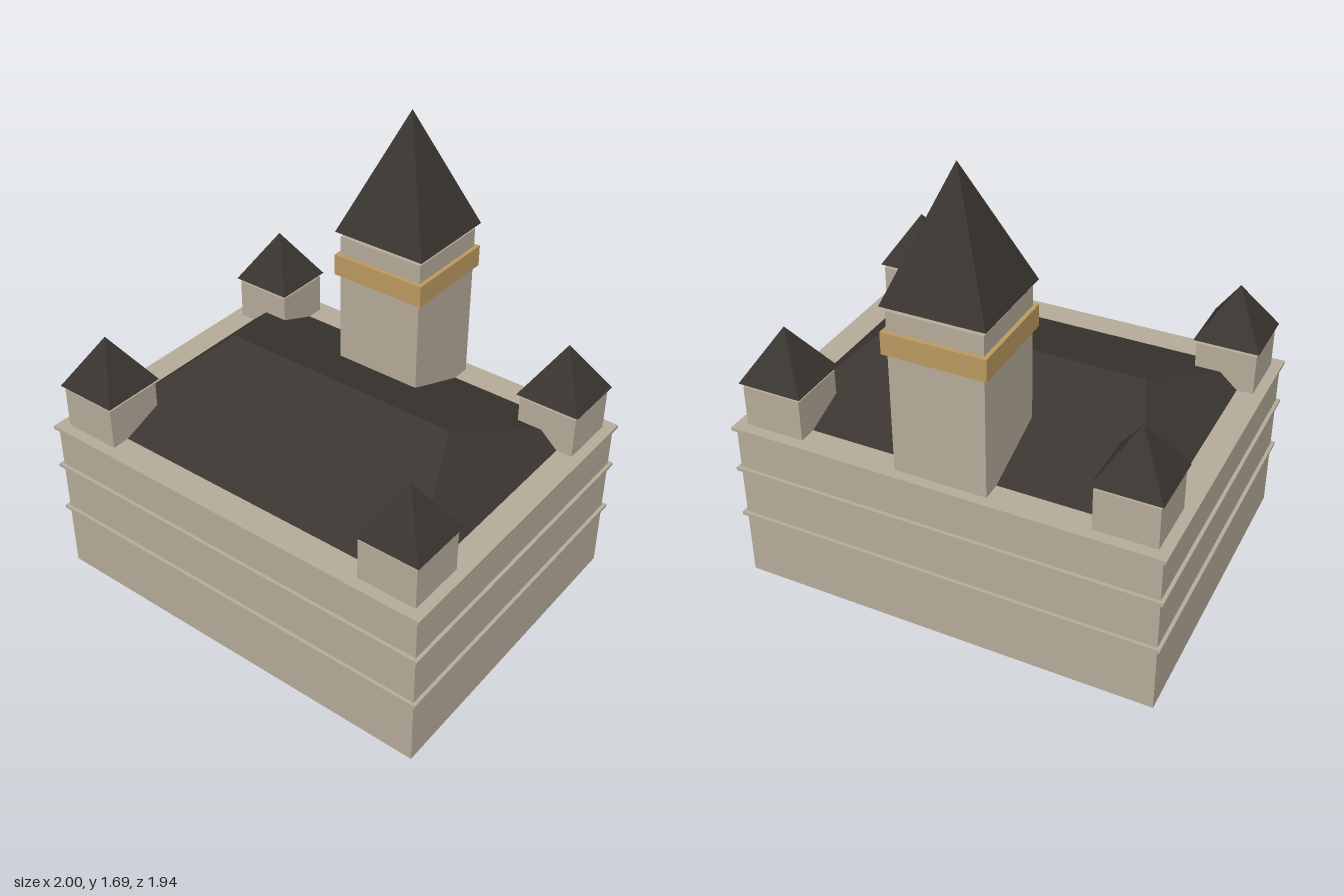
import * as THREE from 'three';
import { ConvexGeometry } from 'three/addons/geometries/ConvexGeometry.js';

const mat = (color) => new THREE.MeshStandardMaterial({ color, flatShading: true, side: THREE.DoubleSide });

export function createModel() {
  const wall = mat(0xb5aa98), slate = mat(0x3a3530), gold = mat(0xbb9960), dark = mat(0x4a4a42);
  const model = new THREE.Group();
  model.name = 'castle';

  // Whole building is turned on its plot
  const castle = new THREE.Group();
  castle.name = 'building';
  castle.rotation.y = THREE.MathUtils.degToRad(-38);
  model.add(castle);

  const add = (name, geometry, material, x = 0, y = 0, z = 0) => {
    const mesh = new THREE.Mesh(geometry, material);
    mesh.name = name;
    mesh.position.set(x, y, z);
    castle.add(mesh);
    return mesh;
  };
  // Box given by its bottom and top heights
  const block = (name, w, d, y0, y1, material, x = 0, z = 0) =>
    add(name, new THREE.BoxGeometry(w, y1 - y0, d), material, x, (y0 + y1) / 2, z);
  // Square pyramid aligned with the walls
  const spire = (name, side, y0, y1, x, z) => {
    const g = new THREE.ConeGeometry(side / Math.SQRT2, y1 - y0, 4).rotateY(Math.PI / 4);
    add(name, g, slate, x, (y0 + y1) / 2, z);
  };

  // Outer walls, open underneath
  const L = 1.55, W = 1.206, H = 0.62;
  for (const s of [-1, 1]) {
    add('longWall', new THREE.PlaneGeometry(L, H).rotateY(s > 0 ? 0 : Math.PI), wall, 0, H / 2, s * W / 2);
    add('endWall', new THREE.PlaneGeometry(W, H).rotateY(s * Math.PI / 2), wall, s * L / 2, H / 2, 0);
  }

  // String courses and top ledge
  for (const y of [0.26, 0.456, 0.625]) block('ledge', 1.576, 1.232, y - 0.006, y + 0.006, wall);
  block('floor', L - 0.004, W - 0.004, 0.24, 0.252, dark);

  // Hipped main roof
  const roof = [];
  for (const s of [-1, 1]) {
    roof.push(new THREE.Vector3(s * 0.47, 0.825, 0));
    for (const t of [-1, 1]) roof.push(new THREE.Vector3(s * 0.69, 0.63, t * 0.51));
  }
  add('mainRoof', new ConvexGeometry(roof), slate);

  // Corner turrets, with roofs held just above the shafts
  for (const x of [-0.638, 0.638]) {
    for (const z of [-0.464, 0.464]) {
      block('turret', 0.22, 0.22, 0.002, 0.785, wall, x, z);
      spire('turretRoof', 0.24, 0.8, 0.99, x, z);
    }
  }

  // Tall tower at the back
  block('tower', 0.336, 0.336, 0.002, 1.23, wall, 0, -0.41);
  block('towerBand', 0.366, 0.366, 1.08, 1.16, gold, 0, -0.41);
  spire('towerRoof', 0.364, 1.25, 1.69, 0, -0.41);

  return model;
}
